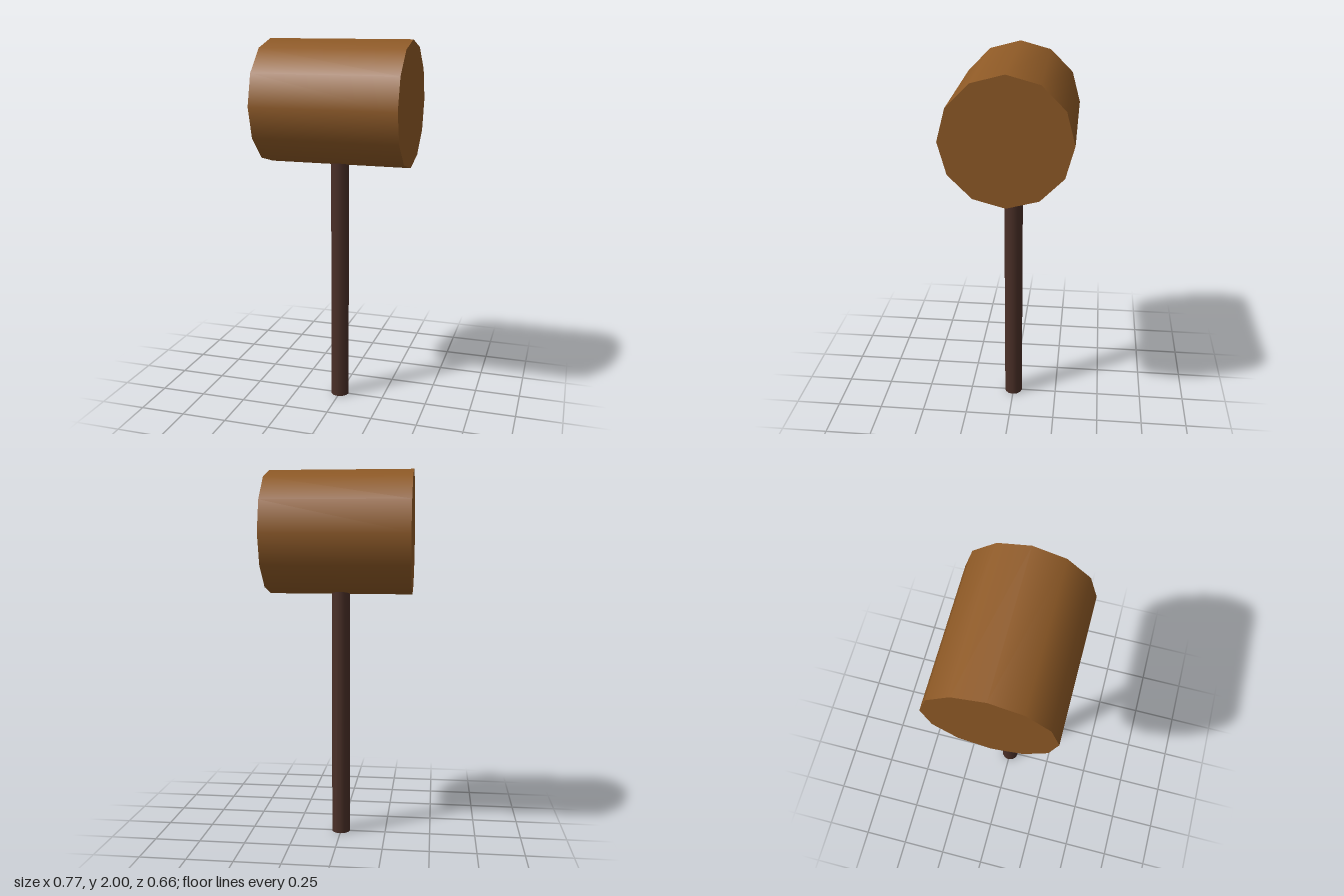
import * as THREE from 'three';

export function createModel() {
  const group = new THREE.Group();
  group.name = 'mallet';

  const headWood = new THREE.MeshStandardMaterial({ color: 0x8f5a26 });
  headWood.name = 'warm brown wood';
  const handleWood = new THREE.MeshStandardMaterial({ color: 0x4a2f27 });
  handleWood.name = 'dark brown wood';

  const headRadius = 0.329, headLength = 0.772, headY = 2 - headRadius;

  // Twelve-sided head lying along x
  const head = new THREE.Mesh(
    new THREE.CylinderGeometry(headRadius, headRadius, headLength, 12), headWood);
  head.name = 'head';
  head.rotation.z = Math.PI / 2;
  head.position.y = headY;
  group.add(head);

  // Handle running up into the head
  const handle = new THREE.Mesh(
    new THREE.CylinderGeometry(0.05, 0.05, headY, 12), handleWood);
  handle.name = 'handle';
  handle.position.y = headY / 2;
  group.add(handle);

  return group;
}
